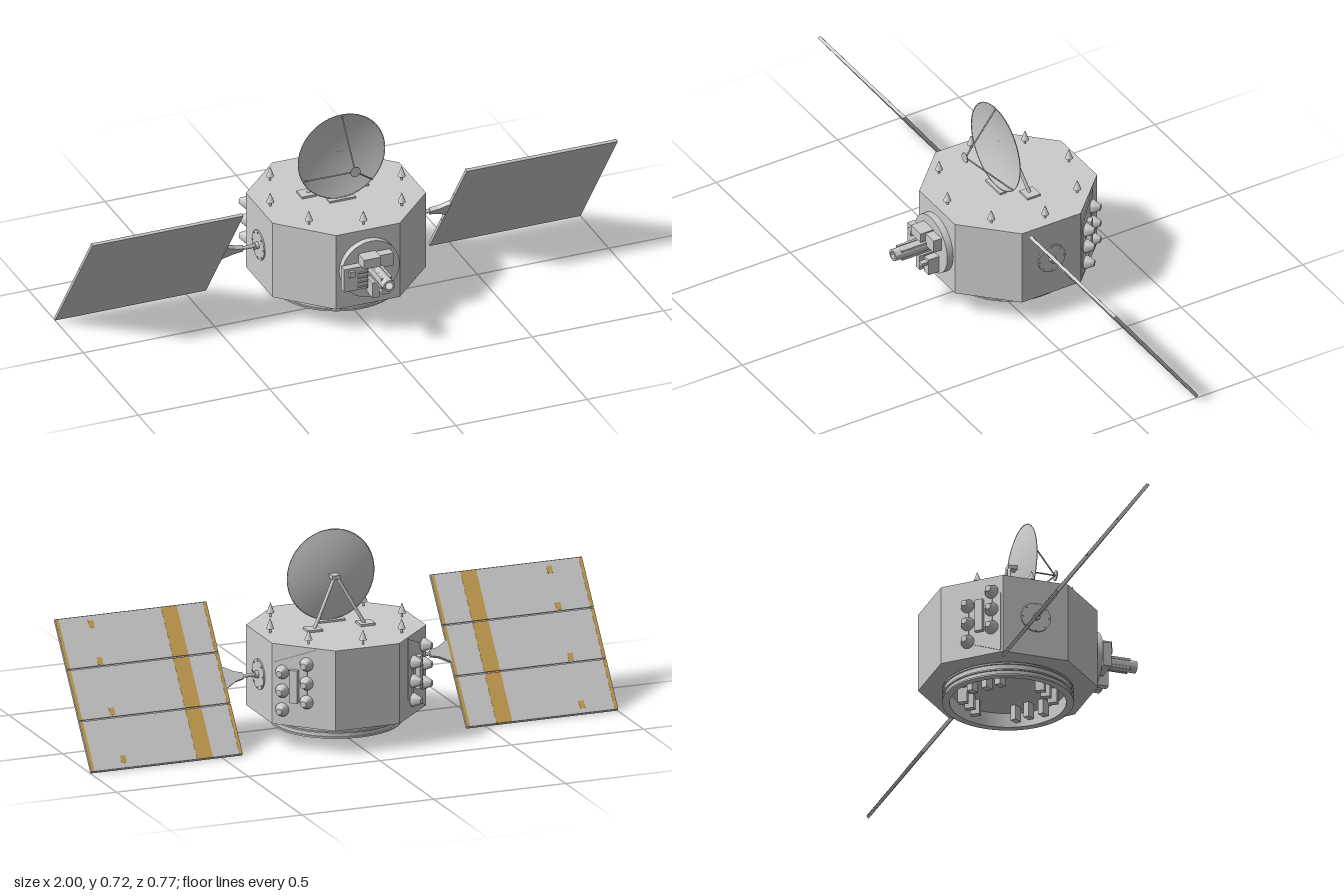
import * as THREE from 'three';
import { toCreasedNormals } from 'three/addons/utils/BufferGeometryUtils.js';

const grey = new THREE.MeshStandardMaterial({ color: 0xcccccc });
const thin = new THREE.MeshStandardMaterial({ color: 0xcccccc, side: THREE.DoubleSide });
const flat = new THREE.MeshStandardMaterial({ color: 0xcccccc, flatShading: true });
const gold = new THREE.MeshStandardMaterial({ color: 0xc9a050 });
const CZ = -0.0925; // body axis
const MID = 0.24; // height of hubs

function add(parent, name, geo, x = 0, y = 0, z = 0, mat = grey) {
  const m = new THREE.Mesh(geo, mat);
  m.name = name;
  m.position.set(x, y, z);
  parent.add(m);
  return m;
}
const box = (w, h, d) => new THREE.BoxGeometry(w, h, d);
const lathe = (pts, seg = 24) =>
  toCreasedNormals(new THREE.LatheGeometry(pts.map(p => new THREE.Vector2(...p)), seg), 0.6);
const disc = (r, d, seg = 32) => new THREE.CylinderGeometry(r, r, d, seg).rotateX(Math.PI / 2);

function rod(parent, name, a, b, r) {
  const A = new THREE.Vector3(...a), B = new THREE.Vector3(...b);
  const d = B.clone().sub(A);
  const m = add(parent, name, new THREE.CylinderGeometry(r, r, d.length(), 8));
  m.position.copy(A).add(B).multiplyScalar(0.5);
  m.quaternion.setFromUnitVectors(new THREE.Vector3(0, 1, 0), d.normalize());
}

function plate(points, depth) {
  const shape = new THREE.Shape(points.map(p => new THREE.Vector2(...p)));
  return new THREE.ExtrudeGeometry(shape, { depth, bevelEnabled: false });
}

function makeBody(root) {
  const R = 0.292 / Math.cos(Math.PI / 8);
  add(root, 'body', new THREE.CylinderGeometry(R, R, 0.295, 8).rotateY(Math.PI / 8), 0, 0.2375, CZ, flat);

  // Hollow adapter ring with three flanges
  add(root, 'adapterRing', lathe([
    [0.205, 0.09], [0.205, 0.037], [0.232, 0.037], [0.232, 0.043], [0.226, 0.043],
    [0.226, 0.057], [0.232, 0.057], [0.232, 0.062], [0.226, 0.062],
    [0.226, 0.08], [0.232, 0.08], [0.232, 0.086], [0.226, 0.086], [0.226, 0.09],
  ], 48), 0, 0, CZ);

  // Small units hanging inside the ring
  for (const s of [-1, 1])
    for (const [x, z] of [[0.05, 0.15], [0.09, 0.11], [0.13, 0.075]])
      for (const t of [-1, 1]) {
        const m = add(root, 'undersideUnit', box(0.022, 0.055, 0.034), s * x, 0.062, CZ + t * z);
        m.rotation.y = s * t * 0.6;
      }

  // Eight pointed antennas around the top deck
  for (let i = 0; i < 8; i++) {
    const a = i * Math.PI / 4;
    add(root, 'deckAntenna', lathe([
      [0.004, 0], [0.004, 0.016], [0.0145, 0.016], [0.013, 0.019], [0.0005, 0.052],
    ], 12), 0.25 * Math.sin(a), 0.385, CZ + 0.25 * Math.cos(a));
  }
}

function makeDish(root) {
  const g = new THREE.Group();
  g.name = 'dishAntenna';
  g.position.set(0, 0.557, -0.063);
  root.add(g);
  const R = 0.165, pts = [];
  for (let i = 0; i <= 10; i++) pts.push(new THREE.Vector2(R * i / 10, 0.021 * (i / 10) ** 2));
  add(g, 'reflector', new THREE.LatheGeometry(pts, 48).rotateX(Math.PI / 2), 0, 0, 0, thin);
  add(g, 'reflectorRim', new THREE.TorusGeometry(R, 0.0015, 6, 48), 0, 0, 0.021);
  // Feed held by three struts
  add(g, 'feed', disc(0.019, 0.004), 0, 0, 0.148);
  for (const deg of [90, 206, 315]) {
    const a = deg * Math.PI / 180;
    rod(g, 'feedStrut', [R * Math.cos(a), R * Math.sin(a), 0.021], [0, 0, 0.146], 0.0028);
  }
  // Mount and splayed legs
  add(g, 'dishMount', box(0.03, 0.014, 0.034), 0, 0.002, -0.016);
  for (const s of [-1, 1]) {
    rod(g, 'dishLeg', [s * 0.006, 0, -0.026], [s * 0.095, -0.168, -0.06], 0.0065);
    add(g, 'legFoot', box(0.055, 0.008, 0.053), s * 0.1, -0.168, -0.059);
  }
  add(g, 'frontFoot', box(0.1, 0.007, 0.028), 0, -0.1685, 0.02);
}

function makeInstrument(root) {
  const g = new THREE.Group();
  g.name = 'frontInstrument';
  g.position.set(0, MID, 0.2);
  root.add(g);
  add(g, 'mountingDisc', disc(0.11, 0.025, 48), 0, 0, 0.0125);
  // Equipment boxes: x, y, width, height, depth
  for (const [x, y, w, h, d] of [
    [-0.068, -0.012, 0.09, 0.09, 0.03], [-0.085, 0.012, 0.022, 0.022, 0.04],
    [-0.015, 0.052, 0.065, 0.036, 0.055], [0.045, 0.04, 0.055, 0.05, 0.035],
    [-0.002, -0.058, 0.026, 0.06, 0.055], [0.04, -0.055, 0.03, 0.065, 0.045],
    [0.04, -0.04, 0.02, 0.012, 0.07],
  ]) add(g, 'equipmentBox', box(w, h, d), x, y, 0.025 + d / 2 - 0.002);
  for (let i = 0; i < 4; i++)
    add(g, 'boxFin', box(0.035, 0.005, 0.006), -0.045, -0.045 + i * 0.018, 0.055);
  // Long barrel with lengthwise ribs
  add(g, 'barrelCollar', disc(0.03, 0.02), 0.004, 0.01, 0.03, gold);
  const tube = lathe([[0.014, 0.02], [0.014, 0.16], [0.022, 0.16], [0.022, 0]], 24);
  add(g, 'barrel', tube.rotateX(Math.PI / 2), 0.004, 0.01, 0.025, thin);
  for (let i = 0; i < 4; i++) {
    const a = Math.PI / 4 + i * Math.PI / 2;
    add(g, 'barrelRib', box(0.009, 0.009, 0.13), 0.004 + 0.023 * Math.cos(a), 0.01 + 0.023 * Math.sin(a), 0.094);
  }
}

function makeThrusters(root, s) {
  const g = new THREE.Group();
  g.name = s > 0 ? 'leftThrusterBank' : 'rightThrusterBank';
  const k = 0.292 * Math.SQRT1_2;
  g.position.set(s * k, 0, CZ - k);
  g.rotation.y = s * 3 * Math.PI / 4; // local z points out of the face
  root.add(g);
  const cx = -s * 0.033;
  add(g, 'thrusterPlate', plate(
    s > 0 ? [[-0.112, 0.095], [0.047, 0.157], [0.047, 0.38], [-0.112, 0.318]]
      : [[-0.047, 0.157], [0.112, 0.095], [0.112, 0.318], [-0.047, 0.38]], 0.003));
  add(g, 'valveBox', box(0.03, 0.12, 0.02), cx, 0.24, 0.01);
  const bell = lathe([[0.019, 0], [0.025, 0.004], [0.025, 0.009], [0.013, 0.034], [0.011, 0.038], [0, 0.038]], 20)
    .rotateX(Math.PI / 2);
  for (const c of [-1, 1])
    for (let i = -1; i <= 1; i++)
      add(g, 'thruster', bell, cx + c * 0.0465, 0.237 + c * 0.019 + i * 0.069, 0.002);
  for (const c of [-1, 1])
    add(g, 'feedLine', box(0.004, 0.15, 0.006), cx + c * 0.0465, 0.237 + c * 0.019, 0.004);
}

function makeWing(root, s) {
  const g = new THREE.Group();
  g.name = s > 0 ? 'leftSolarWing' : 'rightSolarWing';
  g.position.set(0, 0.238, CZ);
  root.add(g);
  // Hub with bolts on the body side
  add(g, 'wingHub', new THREE.CylinderGeometry(0.055, 0.055, 0.006, 32).rotateZ(Math.PI / 2), s * 0.294, 0, 0);
  for (let i = 0; i < 8; i++) {
    const a = i * Math.PI / 4;
    add(g, 'hubBolt', box(0.004, 0.005, 0.005), s * 0.298, 0.049 * Math.cos(a), 0.049 * Math.sin(a));
  }
  rod(g, 'wingShaft', [s * 0.29, 0, 0], [s * 0.37, 0, 0], 0.007);
  add(g, 'shaftCollar', new THREE.CylinderGeometry(0.013, 0.013, 0.014, 16).rotateZ(Math.PI / 2), s * 0.303, 0, 0);

  // Everything below lies in the tilted panel plane
  const p = new THREE.Group();
  p.name = 'solarPanel';
  p.rotation.x = 0.629;
  g.add(p);
  const yoke = [[0.355, -0.011], [0.385, -0.018], [0.428, -0.042], [0.428, 0.042], [0.385, 0.018], [0.355, 0.011]];
  add(p, 'wingYoke', plate(yoke.map(([x, y]) => [s * x, y]), 0.016), 0, 0, -0.008);
  const L = 0.578, W = 0.575, X = s * 0.7125;
  add(p, 'panelSheet', box(W, L, 0.006), X, 0, 0.0025);
  for (let i = -1; i <= 1; i++)
    add(p, 'panelSection', box(W, L / 3 - 0.005, 0.006), X, i * L / 3, -0.003);
  // Gold strips and tabs on the rear face
  for (const [x, w] of [[0.432, 0.012], [0.568, 0.06], [0.993, 0.012]])
    for (let i = -1; i <= 1; i++)
      add(p, 'goldStrip', box(w, L / 3 - 0.005, 0.001), s * x, i * L / 3, -0.0062, gold);
  for (const f of [0.06, 0.37, 0.7, 0.94])
    add(p, 'goldTab', box(0.02, 0.028, 0.001), s * 0.87, (f - 0.5) * L, -0.0062, gold);
}

export function createModel() {
  const root = new THREE.Group();
  root.name = 'satellite';
  makeBody(root);
  makeDish(root);
  makeInstrument(root);
  for (const s of [-1, 1]) {
    makeThrusters(root, s);
    makeWing(root, s);
  }
  return root;
}
